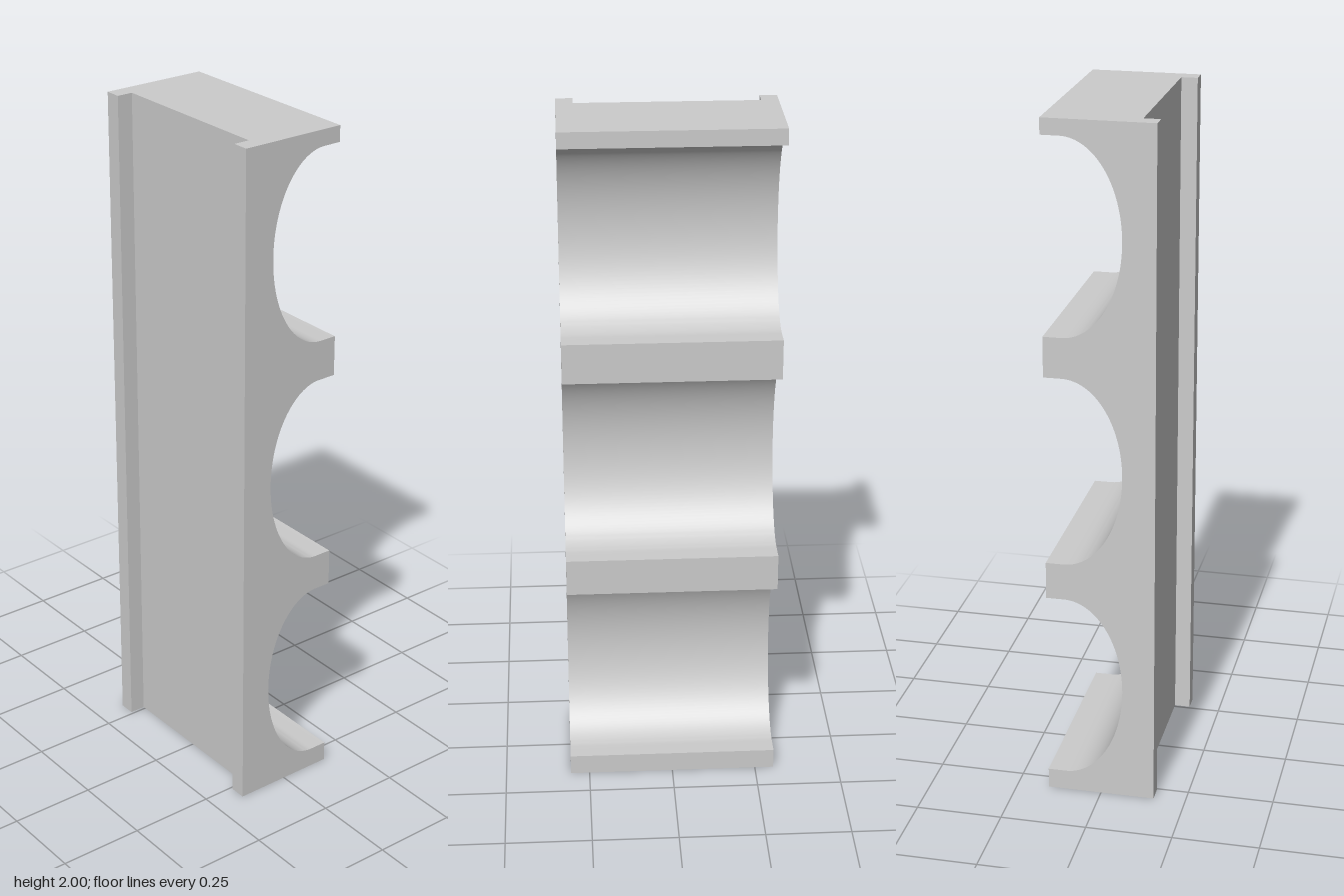
import * as THREE from 'three';
import { toCreasedNormals } from 'three/addons/utils/BufferGeometryUtils.js';

const WIDTH = 0.612, HEIGHT = 2;
const BACK = -0.157, PANEL_FRONT = 0.11, FRONT = 0.157;

export function createModel() {
  const group = new THREE.Group();
  const material = new THREE.MeshStandardMaterial({ color: 0xcccccc });

  // Side profile (z, y): flat front, three half-oval bays cut into the back
  const bayCentre = -0.105, bayDepth = 0.169, bayRadius = 0.278;
  const profile = new THREE.Shape();
  profile.moveTo(BACK, 0);
  profile.lineTo(PANEL_FRONT, 0);
  profile.lineTo(PANEL_FRONT, HEIGHT);
  profile.lineTo(BACK, HEIGHT);
  for (const y of [1.676, 1.003, 0.338]) {
    profile.lineTo(BACK, y + bayRadius);
    profile.lineTo(bayCentre, y + bayRadius);
    profile.absellipse(bayCentre, y, bayDepth, bayRadius, Math.PI / 2, -Math.PI / 2, true);
    profile.lineTo(BACK, y - bayRadius);
  }
  profile.closePath();

  // Body: profile swept across the width
  const bodyGeometry = new THREE.ExtrudeGeometry(profile, {
    depth: WIDTH, bevelEnabled: false, curveSegments: 32,
  });
  bodyGeometry.rotateY(-Math.PI / 2).translate(WIDTH / 2, 0, 0);
  const body = new THREE.Mesh(toCreasedNormals(bodyGeometry, Math.PI / 6), material);
  body.name = 'scallopedBody';
  group.add(body);

  // Edge rails along both sides of the front
  const railWidth = 0.048, railDepth = FRONT - PANEL_FRONT;
  for (const side of [1, -1]) {
    const rail = new THREE.Mesh(new THREE.BoxGeometry(railWidth, HEIGHT, railDepth), material);
    rail.position.set(side * (WIDTH - railWidth) / 2, HEIGHT / 2, PANEL_FRONT + railDepth / 2);
    rail.name = side > 0 ? 'leftRail' : 'rightRail';
    group.add(rail);
  }
  return group;
}
